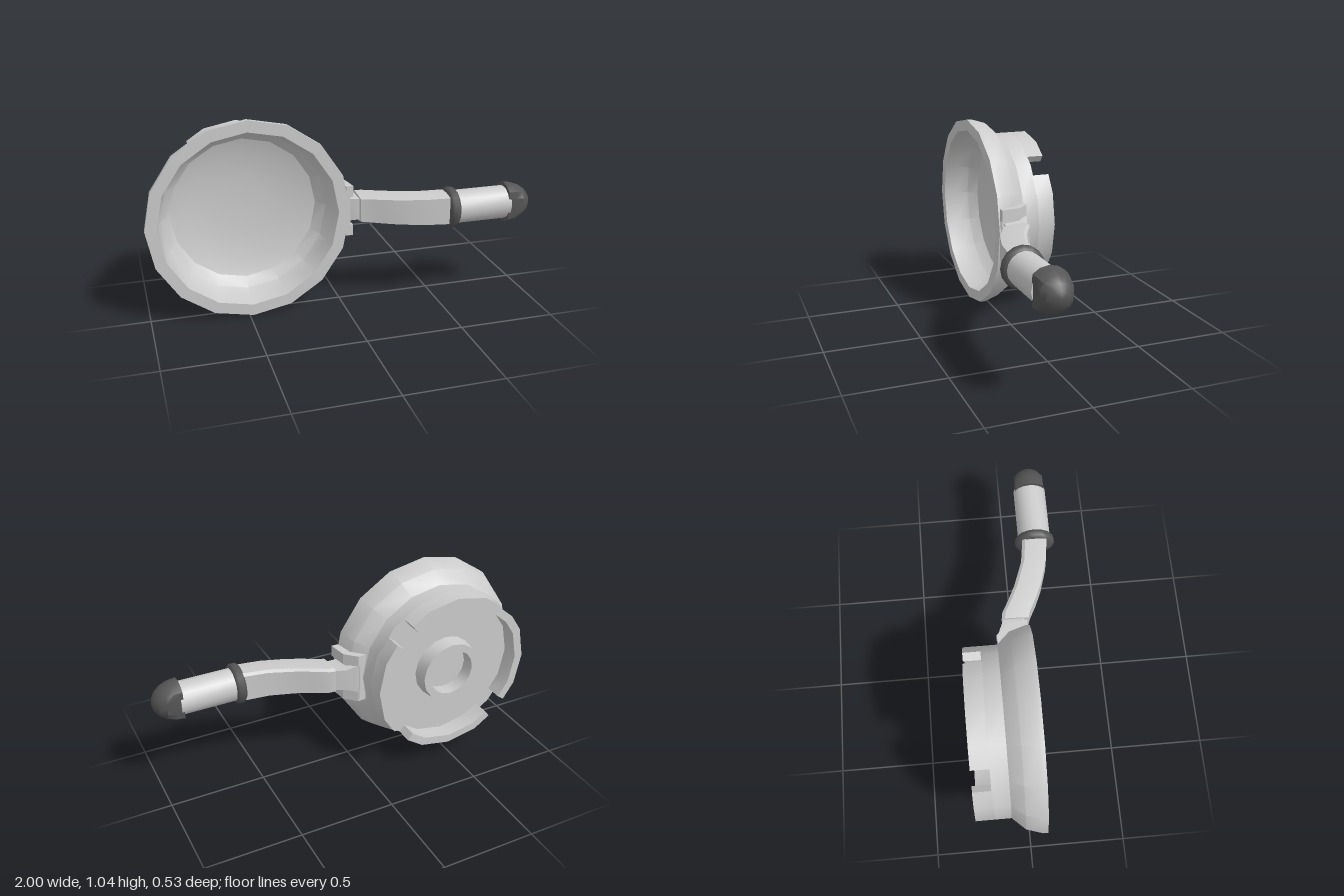
import * as THREE from 'three';
import { toCreasedNormals } from 'three/addons/utils/BufferGeometryUtils.js';

const SIDES = 16;
const CX = -0.48, CY = 0.525, GRIP_Z = 0.155;

const grey = new THREE.MeshStandardMaterial({ color: 0xcccccc });
const dark = new THREE.MeshStandardMaterial({ color: 0x555555 });

function part(name, geometry, material = grey, crease = 0.5) {
  const mesh = new THREE.Mesh(toCreasedNormals(geometry, crease), material);
  mesh.name = name;
  return mesh;
}

const lathe = (pts) =>
  new THREE.LatheGeometry(pts.map(([r, h]) => new THREE.Vector2(r, h)), SIDES);

// Turned about the bowl's z axis; profile points are [radius, z]
const bowlLathe = (pts) => lathe(pts).rotateX(Math.PI / 2).translate(CX, CY, 0);

// Turned about the grip's x axis; profile points are [radius, x]
const gripLathe = (pts) => lathe(pts).rotateZ(-Math.PI / 2).translate(0, CY, GRIP_Z);

// Closed loft through equal-length rings running towards +x
function loft(rings) {
  const n = rings[0].length, index = [];
  for (let i = 0; i < rings.length - 1; i++) {
    for (let j = 0; j < n; j++) {
      const a = i * n + j, b = i * n + ((j + 1) % n);
      index.push(a, b, b + n, a, b + n, a + n);
    }
  }
  const last = (rings.length - 1) * n;
  for (let j = 1; j < n - 1; j++) {
    index.push(0, j + 1, j, last, last + j, last + j + 1);
  }
  const g = new THREE.BufferGeometry();
  g.setAttribute('position', new THREE.Float32BufferAttribute(rings.flat(2), 3));
  g.setIndex(index);
  return g;
}

// Ring wall section centred on an angle, matching the faceted base
function wallSegment(angle) {
  const end = 0.645, step = Math.PI / 8;
  const endScale = Math.cos(step / 2) / Math.cos(end - 1.5 * step);
  const arc = [[-end, endScale], [-step, 1], [0, 1], [step, 1], [end, endScale]];
  const point = (r) => ([t, s]) =>
    new THREE.Vector2(Math.cos(angle + t) * r * s, Math.sin(angle + t) * r * s);
  const shape = new THREE.Shape([
    ...arc.map(point(0.435)), ...arc.slice().reverse().map(point(0.39))]);
  return new THREE.ExtrudeGeometry(shape, { depth: 0.095, bevelEnabled: false })
    .translate(CX, CY, -0.27);
}

// Strip that follows the bowl's outer side, extruded along y
function sideStrip(lift, y0, y1) {
  const outline = [[-0.06, -0.09], [-0.03 + lift * 0.6, -0.095], [0.02 + lift, -0.035],
    [0.035 + lift, 0.068], [0.02, 0.068], [0, -0.03]];
  const shape = new THREE.Shape(outline.map(([x, z]) => new THREE.Vector2(x, -z)));
  return new THREE.ExtrudeGeometry(shape, { depth: y1 - y0, bevelEnabled: false })
    .rotateX(-Math.PI / 2).translate(0, y0, 0);
}

export function createModel() {
  const model = new THREE.Group();

  // Bowl: outer side, rim and hollow inside in one profile
  model.add(part('bowl', bowlLathe([
    [0, -0.18], [0.435, -0.18], [0.435, -0.095], [0.495, -0.03], [0.52, 0.05],
    [0.52, 0.075], [0.46, 0.075], [0.45, 0.01], [0.425, -0.06], [0.38, -0.11],
    [0.29, -0.14], [0.15, -0.155], [0, -0.16]])));

  // Notched ring behind the bowl
  const ring = new THREE.Group();
  ring.name = 'baseRing';
  for (let k = 0; k < 4; k++) ring.add(part('baseSegment', wallSegment(k * Math.PI / 2)));
  model.add(ring);

  // Raised hub on the back plate
  model.add(part('hub', bowlLathe([
    [0.125, -0.178], [0.125, -0.255], [0.165, -0.255], [0.175, -0.178]])));

  // Bracket hugging the bowl, with a rib along each edge
  const bracket = new THREE.Group();
  bracket.name = 'bracket';
  bracket.add(part('bracketPlate', sideStrip(0.008, CY - 0.12, CY + 0.12)));
  for (const s of [-1, 1]) {
    const y = CY + s * 0.105;
    bracket.add(part('bracketRib', sideStrip(0.022, y - 0.03, y + 0.03)));
  }
  const neckRing = ([x, hy, z0, z1]) => [
    [x, CY + hy, z0], [x, CY + hy, z1], [x, CY - hy, z1], [x, CY - hy, z0]];
  bracket.add(part('bracketNeck', loft([
    [-0.03, 0.085, -0.095, 0.0], [0.04, 0.06, -0.075, 0.05], [0.11, 0.055, -0.045, 0.06],
  ].map(neckRing))));
  model.add(bracket);

  // Curved handle: [x, centre z, half height, half depth]
  const section = [[0.86, -1], [1, -0.75], [1, 0.15], [0.87, 1],
    [-0.87, 1], [-1, 0.15], [-1, -0.75], [-0.86, -1]];
  model.add(part('handle', loft([
    [0.095, 0.01, 0.07, 0.07], [0.13, 0.018, 0.072, 0.073], [0.2, 0.055, 0.074, 0.072],
    [0.28, 0.092, 0.076, 0.07], [0.41, 0.135, 0.079, 0.066], [0.56, 0.155, 0.082, 0.065],
  ].map(([x, z, hy, hz]) => section.map(([sy, sz]) => [x, CY + sy * hy, z + sz * hz])))));

  // Straight grip
  model.add(part('grip', gripLathe([[0, 0.55], [0.087, 0.55], [0.087, 0.87], [0, 0.87]])));

  // Rounded collar
  model.add(part('collar', gripLathe([
    [0, 0.533], [0.095, 0.533], [0.106, 0.545], [0.106, 0.57], [0.095, 0.582], [0, 0.582]]),
    dark, 0.9));

  // End cap: a dome with two flattened sides
  const dome = [[0, 0.857]];
  for (let i = 0; i <= 5; i++) {
    const a = i / 5 * Math.PI / 2;
    dome.push([0.107 * Math.cos(a), 0.857 + 0.143 * Math.sin(a)]);
  }
  const cap = gripLathe(dome);
  const p = cap.attributes.position;
  for (let i = 0; i < p.count; i++) {
    p.setZ(i, GRIP_Z + THREE.MathUtils.clamp(p.getZ(i) - GRIP_Z, -0.078, 0.078));
  }
  model.add(part('endCap', cap, dark));

  return model;
}
